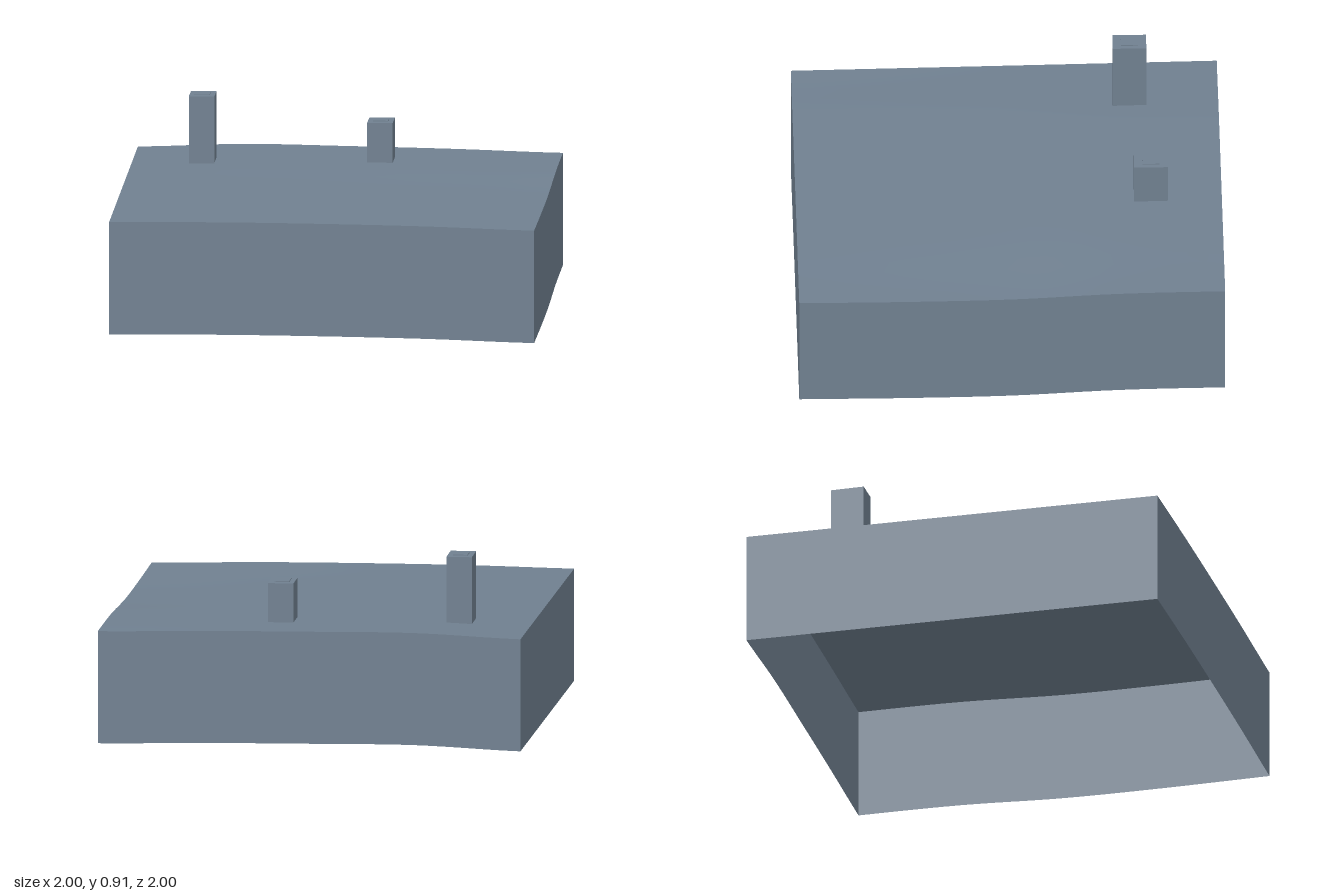
import * as THREE from 'three';

// Evenly spaced samples from -1 to 1, smoothly interpolated
function profile(values) {
  const curve = new THREE.SplineCurve(values.map((v, i) => new THREE.Vector2(i, v)));
  return (s) => curve.getPoint((s + 1) / 2).y;
}

const frontEdge = profile([0.553, 0.558, 0.556, 0.549, 0.535]);
const backEdge = profile([0.584, 0.602, 0.597, 0.589, 0.576]);
const rightSlope = profile([1, 0.8, 0.2, 0.01, 0]); // back to front, S-shaped on the right

function groundHeight(x, z) {
  const t = THREE.MathUtils.lerp((1 - z) / 2, rightSlope(z), (x + 1) / 2);
  return THREE.MathUtils.lerp(frontEdge(x), backEdge(x), t);
}

const SEGMENTS = 24;
const SKIRT = 0.535;

// Gently rolling ground sheet
function groundGeometry() {
  const g = new THREE.PlaneGeometry(2, 2, SEGMENTS, SEGMENTS).rotateX(-Math.PI / 2);
  const p = g.attributes.position;
  for (let i = 0; i < p.count; i++) p.setY(i, groundHeight(p.getX(i), p.getZ(i)));
  g.computeVertexNormals();
  return g;
}

// Wall whose top and bottom both follow the ground edge
function skirtGeometry(angle) {
  const g = new THREE.PlaneGeometry(2, 1, SEGMENTS, 1).translate(0, 0, 1).rotateY(angle);
  const p = g.attributes.position;
  for (let i = 0; i < p.count; i++) {
    const x = THREE.MathUtils.clamp(p.getX(i), -1, 1);
    const z = THREE.MathUtils.clamp(p.getZ(i), -1, 1);
    const top = groundHeight(x, z);
    p.setY(i, p.getY(i) > 0 ? top : Math.max(0, top - SKIRT));
  }
  g.computeVertexNormals();
  return g;
}

export function createModel() {
  const model = new THREE.Group();
  model.name = 'terrainTile';
  const slate = new THREE.MeshStandardMaterial({ color: 0x708090, side: THREE.DoubleSide });
  slate.name = 'slate grey';

  const add = (parent, name, geometry) => {
    const mesh = new THREE.Mesh(geometry, slate);
    mesh.name = name;
    parent.add(mesh);
    return mesh;
  };

  add(model, 'ground', groundGeometry());
  ['frontSkirt', 'leftSkirt', 'backSkirt', 'rightSkirt'].forEach((name, i) =>
    add(model, name, skirtGeometry(i * Math.PI / 2)));

  // Towers standing on the ground, each with a thin roof plate
  const towers = [
    { name: 'tallTower', x: -0.667, z: -0.583, top: 0.907 },
    { name: 'shortTower', x: 0.167, z: -0.667, top: 0.777 },
  ];
  for (const { name, x, z, top } of towers) {
    const tower = new THREE.Group();
    tower.name = name;
    tower.position.set(x, 0, z);
    const base = groundHeight(x, z) - 0.002;
    add(tower, 'towerBody', new THREE.BoxGeometry(0.12, top - base, 0.158)).position.y = (top + base) / 2;
    add(tower, 'roofPlate', new THREE.BoxGeometry(0.07, 0.004, 0.08)).position.y = top + 0.002;
    model.add(tower);
  }
  return model;
}
